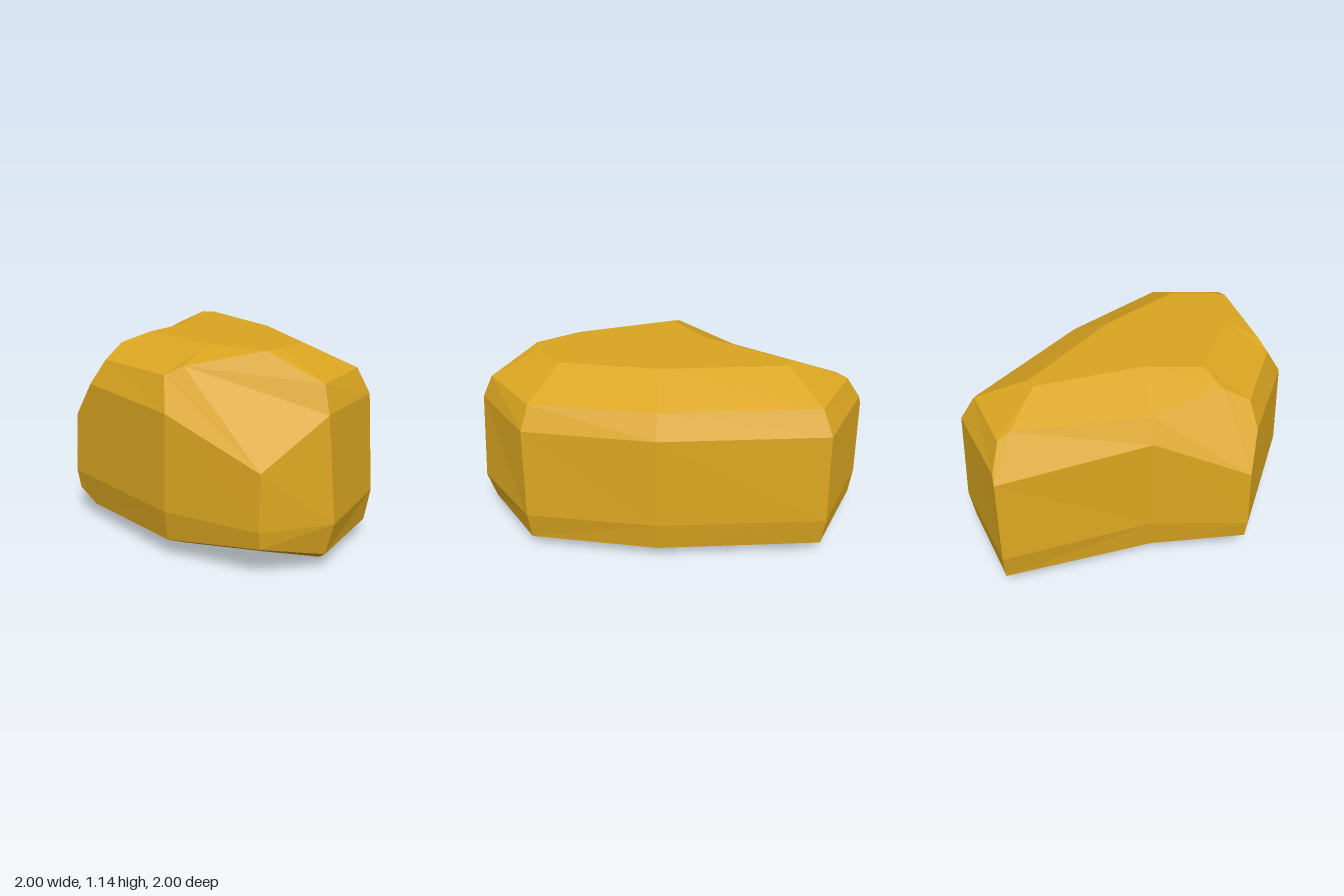
import * as THREE from 'three';

// Each column runs from the waist to the cap: waist [x,z], then shoulder, bevel and cap [x,y,z].
const WAIST = 0.28, TOP = 1.14;
const columns = [
  [[-0.43, -1], [-0.43, 0.855, -0.97], [-0.43, 1, -0.88], [-0.46, TOP, -0.55]],
  [[0.42, -0.43], [0.41, 0.855, -0.41], [0.36, 1, -0.35], [0.18, TOP, -0.13]],
  [[1, 0.14], [0.97, 0.855, 0.155], [0.9, 1, 0.18], [0.61, TOP, 0.3]],
  [[1, 0.71], [0.95, 0.855, 0.7], [0.9, 1, 0.65], [0.61, TOP, 0.55]],
  [[0.71, 1], [0.71, 0.59, 0.985], [0.16, 1.05, 0.82], [0.57, TOP, 0.65]],
  [[0.14, 1], [0.14, 0.82, 0.975], [0.07, 1, 0.87], [0.2, TOP, 0.61]],
  // chipped left front corner, two columns sharing waist and cap
  [[-0.71, 0.71], [-0.55, 0.855, 0.735], [-0.465, 1, 0.69], [-0.33, TOP, 0.43]],
  [[-0.71, 0.71], [-0.695, 0.64, 0.7], [-0.465, 1.08, 0.53], [-0.33, TOP, 0.43]],
  [[-0.71, 0.14], [-0.69, 0.855, 0.14], [-0.62, 1, 0.13], [-0.33, TOP, 0.08]],
  // chipped left back corner
  [[-1, -0.71], [-0.97, 0.8, -0.71], [-0.8, 1.03, -0.63], [-0.53, TOP, -0.52]],
  [[-1, -0.71], [-0.94, 0.855, -0.717], [-0.84, 1, -0.69], [-0.53, TOP, -0.52]],
];

// Builds one half of the rock; the lower half is the upper one mirrored and flattened.
function halfShell(lower) {
  const positions = [];
  const mapY = (y) => (lower ? (TOP - y) * 0.335 : y);
  const point = (column, level) => {
    const p = columns[column % columns.length][level];
    return level === 0 ? [p[0], WAIST, p[1]] : [p[0], mapY(p[1]), p[2]];
  };
  const same = (a, b) => a.every((v, k) => v === b[k]);
  const triangle = (a, b, c) => {
    if (same(a, b) || same(b, c) || same(a, c)) return;
    positions.push(...(lower ? [a, c, b] : [a, b, c]).flat());
  };

  // facets around the sides
  for (let level = 0; level < 3; level++) {
    for (let i = 0; i < columns.length; i++) {
      const a = point(i, level), b = point(i + 1, level);
      const c = point(i + 1, level + 1), d = point(i, level + 1);
      triangle(b, a, c);
      triangle(a, d, c);
    }
  }

  // flat cap
  const rim = columns.map((_, i) => point(i, 3)).filter((p, i, all) => i === 0 || !same(p, all[i - 1]));
  const outline = rim.map((p) => new THREE.Vector2(p[0], p[2]));
  for (const [i, j, k] of THREE.ShapeUtils.triangulateShape(outline, [])) {
    const clockwise = THREE.ShapeUtils.area([outline[i], outline[j], outline[k]]) < 0;
    if (clockwise) triangle(rim[i], rim[j], rim[k]);
    else triangle(rim[i], rim[k], rim[j]);
  }

  const geometry = new THREE.BufferGeometry();
  geometry.setAttribute('position', new THREE.Float32BufferAttribute(positions, 3));
  geometry.computeVertexNormals();
  return geometry;
}

export function createModel() {
  const group = new THREE.Group();
  group.name = 'goldNugget';
  const gold = new THREE.MeshStandardMaterial({ color: 0xdaa520 });
  gold.name = 'gold';
  gold.flatShading = true;

  for (const lower of [false, true]) {
    const mesh = new THREE.Mesh(halfShell(lower), gold);
    mesh.name = lower ? 'lowerRock' : 'upperRock';
    group.add(mesh);
  }
  return group;
}
